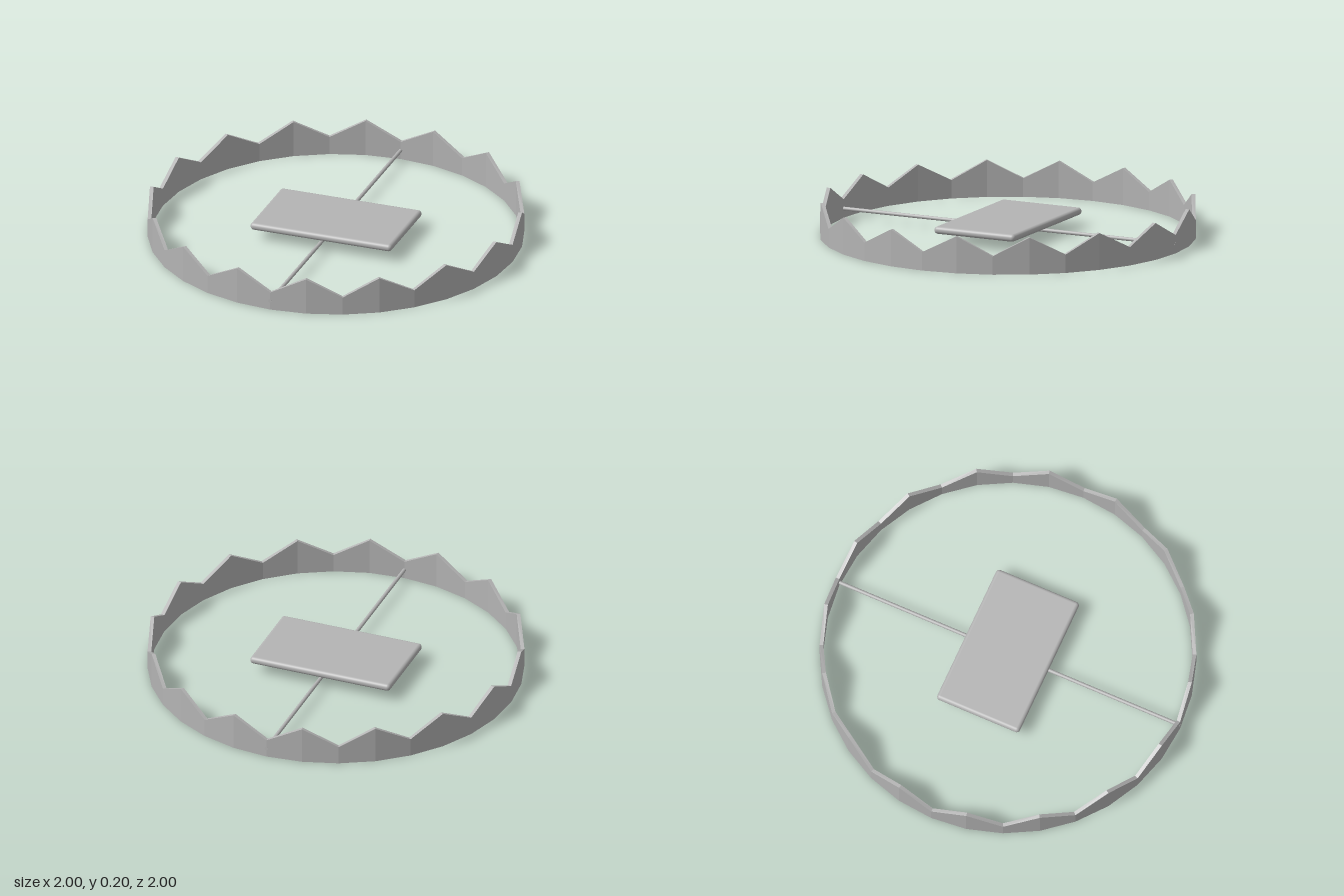
import * as THREE from 'three';
import { RoundedBoxGeometry } from 'three/addons/geometries/RoundedBoxGeometry.js';

const SIDES = 32, OUTER = 1, INNER = 0.98;
const VALLEY = 0.1, PEAK = 0.2;

// Faceted band whose top edge zigzags between valleys and peaks
function toothedRing() {
  const positions = [];
  const corner = (i, radius, top) => {
    const angle = (i / SIDES) * Math.PI * 2;
    const y = top ? (i % 2 ? PEAK : VALLEY) : 0;
    return [Math.sin(angle) * radius, y, Math.cos(angle) * radius];
  };
  const quad = (a, b, c, d) => positions.push(...a, ...b, ...c, ...a, ...c, ...d);

  for (let i = 0; i < SIDES; i++) {
    const j = i + 1;
    const [ob0, ob1] = [corner(i, OUTER, false), corner(j, OUTER, false)];
    const [ot0, ot1] = [corner(i, OUTER, true), corner(j, OUTER, true)];
    const [ib0, ib1] = [corner(i, INNER, false), corner(j, INNER, false)];
    const [it0, it1] = [corner(i, INNER, true), corner(j, INNER, true)];
    quad(ob0, ob1, ot1, ot0); // outside
    quad(ib1, ib0, it0, it1); // inside
    quad(ot0, ot1, it1, it0); // sloped top
    quad(ib0, ib1, ob1, ob0); // underside
  }
  const geometry = new THREE.BufferGeometry();
  geometry.setAttribute('position', new THREE.Float32BufferAttribute(positions, 3));
  geometry.computeVertexNormals();
  return geometry;
}

export function createModel() {
  const model = new THREE.Group();
  model.name = 'toothedRingTrap';
  const steel = new THREE.MeshStandardMaterial({ color: 0xb4b4b4 });
  steel.name = 'steel grey';

  const add = (name, geometry, y) => {
    const mesh = new THREE.Mesh(geometry, steel);
    mesh.name = name;
    mesh.position.y = y;
    model.add(mesh);
  };

  add('toothedRing', toothedRing(), 0);

  // Rod spanning the ring from front to back
  add('crossRod', new THREE.CylinderGeometry(0.01, 0.01, 2, 16).rotateX(Math.PI / 2), 0.05);

  // Rounded plate resting on the rod
  add('pressurePlate', new RoundedBoxGeometry(0.8, 0.04, 0.48, 4, 0.019), 0.08);

  return model;
}
